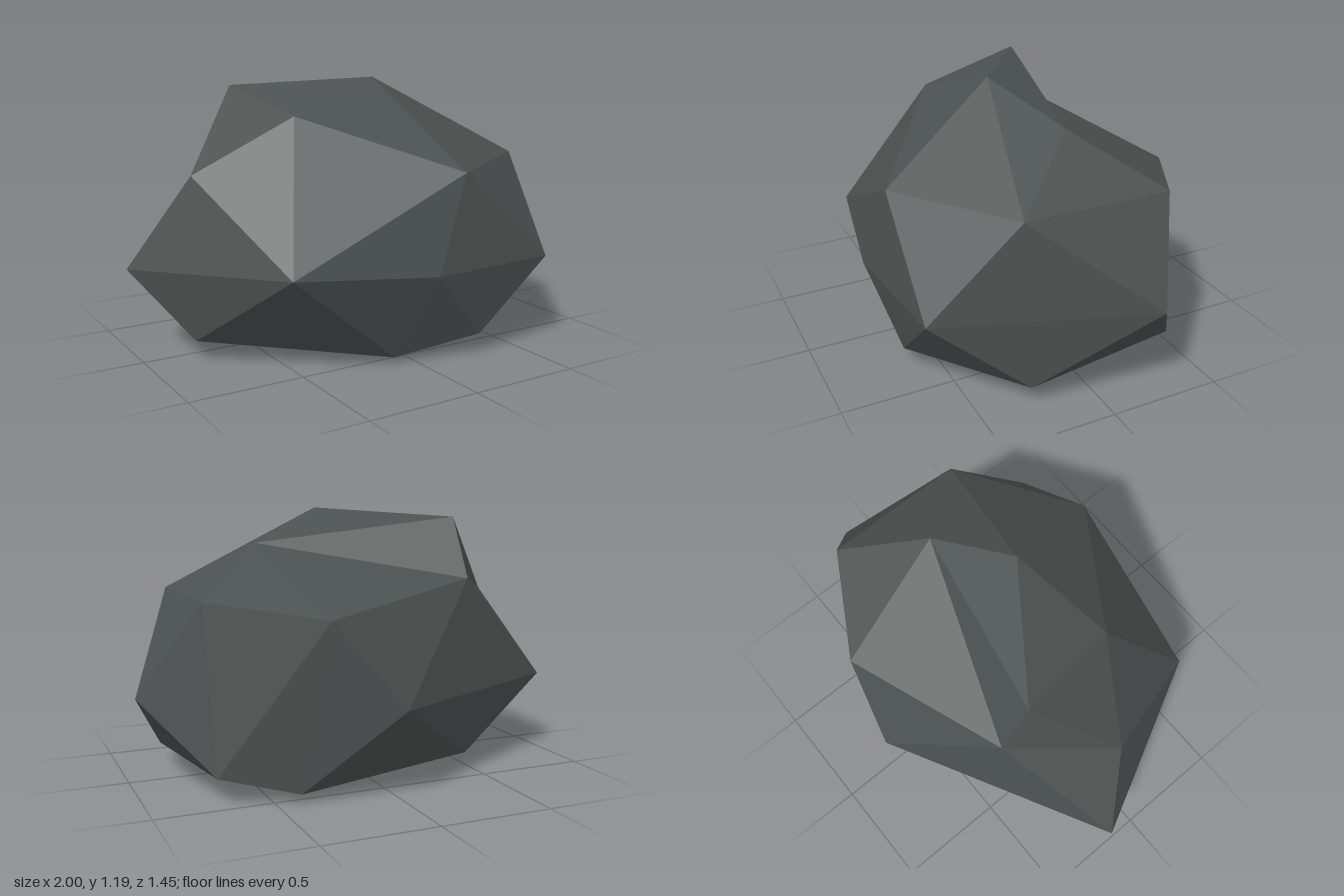
import * as THREE from 'three';
import { ConvexGeometry } from 'three/addons/geometries/ConvexGeometry.js';

export function createModel() {
  const group = new THREE.Group();
  group.name = 'boulder';
  const stone = new THREE.MeshStandardMaterial({ color: 0x4b5150, flatShading: true });
  stone.name = 'darkStone';

  const v = (x, y, z) => new THREE.Vector3(x, y, z);

  // Corners shared by the body and the crown
  const shoulder = [
    v(0.43, 1.04, -0.06), v(0.75, 0.825, 0.295), v(0.2, 0.81, 0.66),
    v(-0.39, 1.04, 0.24), v(-0.77, 0.79, 0.02), v(-0.46, 0.88, -0.39),
  ];
  // Peaks that overhang the notch at the back
  const peaks = [v(0.07, 1.19, 0.13), v(-0.46, 1.15, -0.25)];
  // Widest ring of corners, with two high corners at the back
  const girth = [
    v(0.75, 0.825, -0.375), v(1, 0.42, -0.22), v(0.65, 0.4, 0.675),
    v(0.02, 0.4, 0.725), v(-0.6, 0.44, 0.61), v(-1, 0.37, -0.18),
    v(0, 0.39, -0.725), v(0.3, 0.76, -0.64),
  ];
  // Low corners around the underside
  const foot = [
    v(0.72, 0.11, -0.44), v(0.8, 0.09, 0.28), v(0.3, 0.09, 0.65),
    v(-0.09, 0.025, 0.56), v(-0.8, 0.09, 0.1), v(-0.46, 0.08, -0.4),
    v(-0.46, 0, -0.1), v(0.4, 0.04, -0.555),
  ];

  // Two faceted masses whose union leaves the concave notch
  const addRock = (name, points) => {
    const mesh = new THREE.Mesh(new ConvexGeometry(points), stone);
    mesh.name = name;
    group.add(mesh);
  };
  addRock('body', [...shoulder, ...girth, ...foot]);
  addRock('crown', [...shoulder, ...peaks]);

  return group;
}
